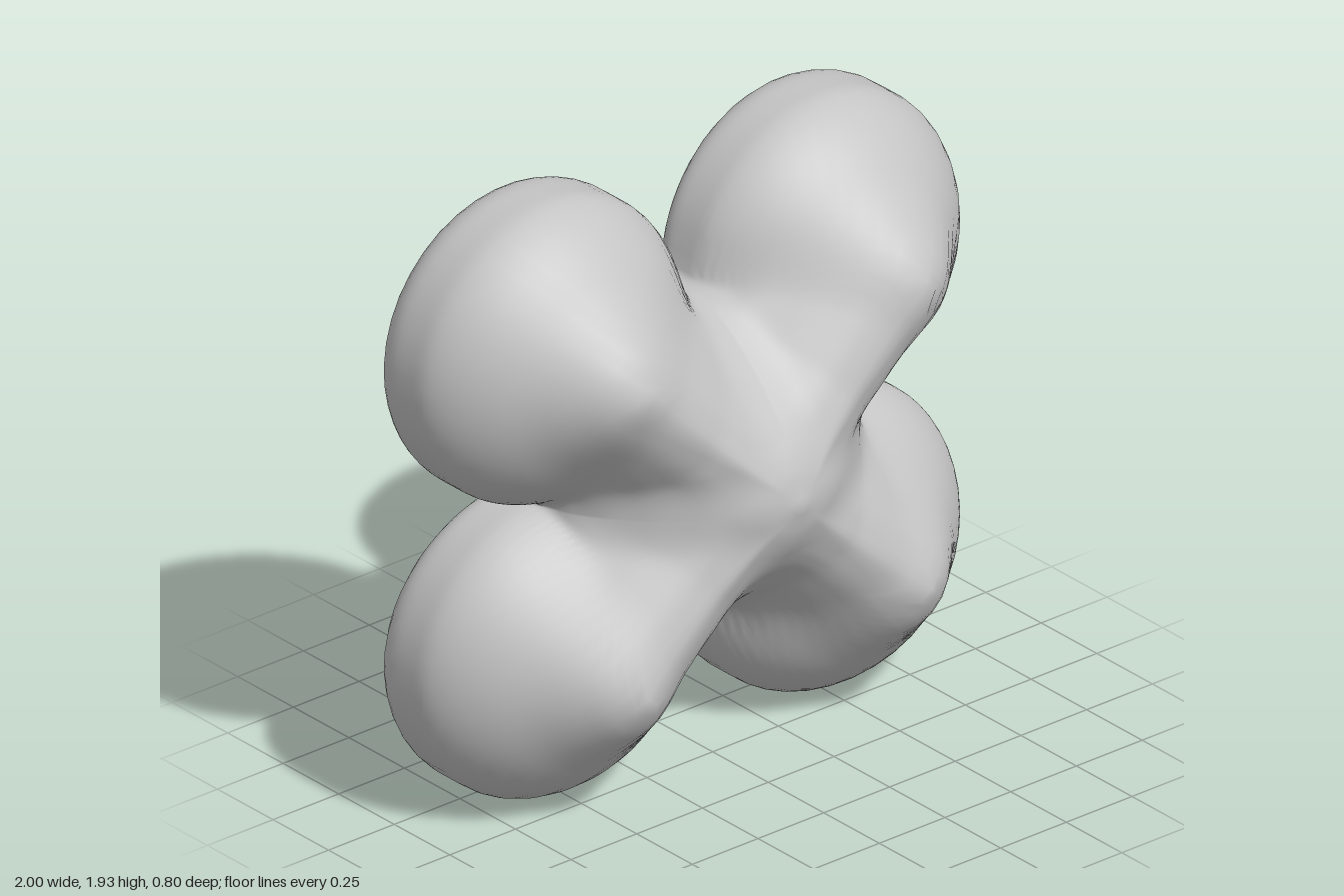
import * as THREE from 'three';
import { mergeVertices } from 'three/addons/utils/BufferGeometryUtils.js';

const CENTRE_Y = 0.962, CORE_Z = -0.1;

// Profiles of [z, radius], from front to back
const LOBE = [[0.5, -0.5], [0.365, 0], [0.3, 0.105], [0.2, 0.215], [0.06, 0.37], [0, 0.422], [-0.06, 0.46],
  [-0.12, 0.483], [-0.27, 0.483], [-0.32, 0.465], [-0.36, 0.425], [-0.39, 0.35], [-0.42, 0.2], [-0.5, -0.8]];
const HUB = [[0.5, -0.6], [0.41, 0], [0.38, 0.12], [0.3, 0.24], [0.2, 0.35], [0.1, 0.43], [0, 0.49],
  [-0.08, 0.51], [-0.26, 0.51], [-0.3, 0.49], [-0.34, 0.4], [-0.45, -0.2]];
const ARM = [[0.45, -0.4], [0.338, 0], [0.3, 0.1], [0.2, 0.2], [0.05, 0.31], [-0.05, 0.34],
  [-0.26, 0.34], [-0.34, 0.3], [-0.42, 0.2], [-0.5, -0.3]];

function lookUp(profile, z) {
  let i = 1;
  while (i < profile.length - 1 && z < profile[i][0]) i++;
  const [z0, r0] = profile[i - 1], [z1, r1] = profile[i];
  return r0 + (r1 - r0) * (z - z0) / (z1 - z0);
}

// Profile radius with its corners softened
function radiusAt(profile, z) {
  return (lookUp(profile, z - 0.025) + 2 * lookUp(profile, z) + lookUp(profile, z + 0.025)) / 4;
}

function blend(a, b, k) {
  const h = Math.max(k - Math.abs(a - b), 0) / k;
  return Math.min(a, b) - h * h * k / 4;
}

// Negative inside the body; the body mirrors in x and y about its centre
function field(px, py, z) {
  const x = Math.abs(px), y = Math.abs(py);
  const lobe = Math.hypot(x - 0.52, y - 0.482) - radiusAt(LOBE, z);
  const hub = Math.hypot(x * 0.9, y) - radiusAt(HUB, z);
  // Ridged arm from the hub to the tip of the lobe
  const t = THREE.MathUtils.clamp((x * 0.52 + y * 0.482) / 0.5027, 0, 1);
  const rise = 0.05 * Math.max(0, 1 - t / 0.5);
  const arm = Math.hypot(x - 0.52 * t, y - 0.482 * t) - radiusAt(ARM, z > 0 ? z - rise : z);
  const front = Math.max(z, 0);
  const body = blend(blend(hub, arm, 0.06), lobe, 0.035 + 0.12 * front);
  // Nearly flat back, dished towards the notches and rounded at its edge
  const dish = x * y / Math.max(Math.hypot(x, y), 1e-6);
  const back = -0.328 - 0.072 * Math.min(dish / 0.48, 1);
  return -blend(-body, z - back, 0.08);
}

// Distance from the core to the skin along a direction
function reach(dx, dy, dz) {
  const f = (s) => field(dx * s, dy * s, CORE_Z + dz * s);
  let hi = 0.02;
  while (f(hi) < 0 && hi < 1.6) hi += 0.01;
  let lo = hi - 0.01;
  for (let i = 0; i < 12; i++) {
    const mid = (lo + hi) / 2;
    if (f(mid) < 0) lo = mid; else hi = mid;
  }
  return (lo + hi) / 2;
}

export function createModel() {
  const grey = new THREE.MeshStandardMaterial({ color: 0xc4c4c4 });
  grey.name = 'grey';

  // Sphere pushed out to the skin, with rows packed near the rim and columns near the notches
  let geometry = new THREE.SphereGeometry(1, 176, 88);
  const pos = geometry.attributes.position, uv = geometry.attributes.uv;
  for (let i = 0; i < pos.count; i++) {
    const u = uv.getX(i) * Math.PI * 2, v = 1 - uv.getY(i);
    const around = u - 0.2 * Math.sin(4 * u);
    const down = Math.PI * v + 0.3 * Math.sin(2 * Math.PI * v);
    const dx = -Math.cos(around) * Math.sin(down);
    const dy = -Math.sin(around) * Math.sin(down);
    const dz = Math.cos(down);
    const s = reach(dx, dy, dz);
    pos.setXYZ(i, dx * s, CENTRE_Y + dy * s, CORE_Z + dz * s);
  }
  geometry.deleteAttribute('uv');
  geometry.deleteAttribute('normal');
  geometry = mergeVertices(geometry, 1e-4);
  geometry.computeVertexNormals();

  const body = new THREE.Mesh(geometry, grey);
  body.name = 'fourLobedBody';
  const group = new THREE.Group();
  group.name = 'fourLobedForm';
  group.add(body);
  return group;
}
